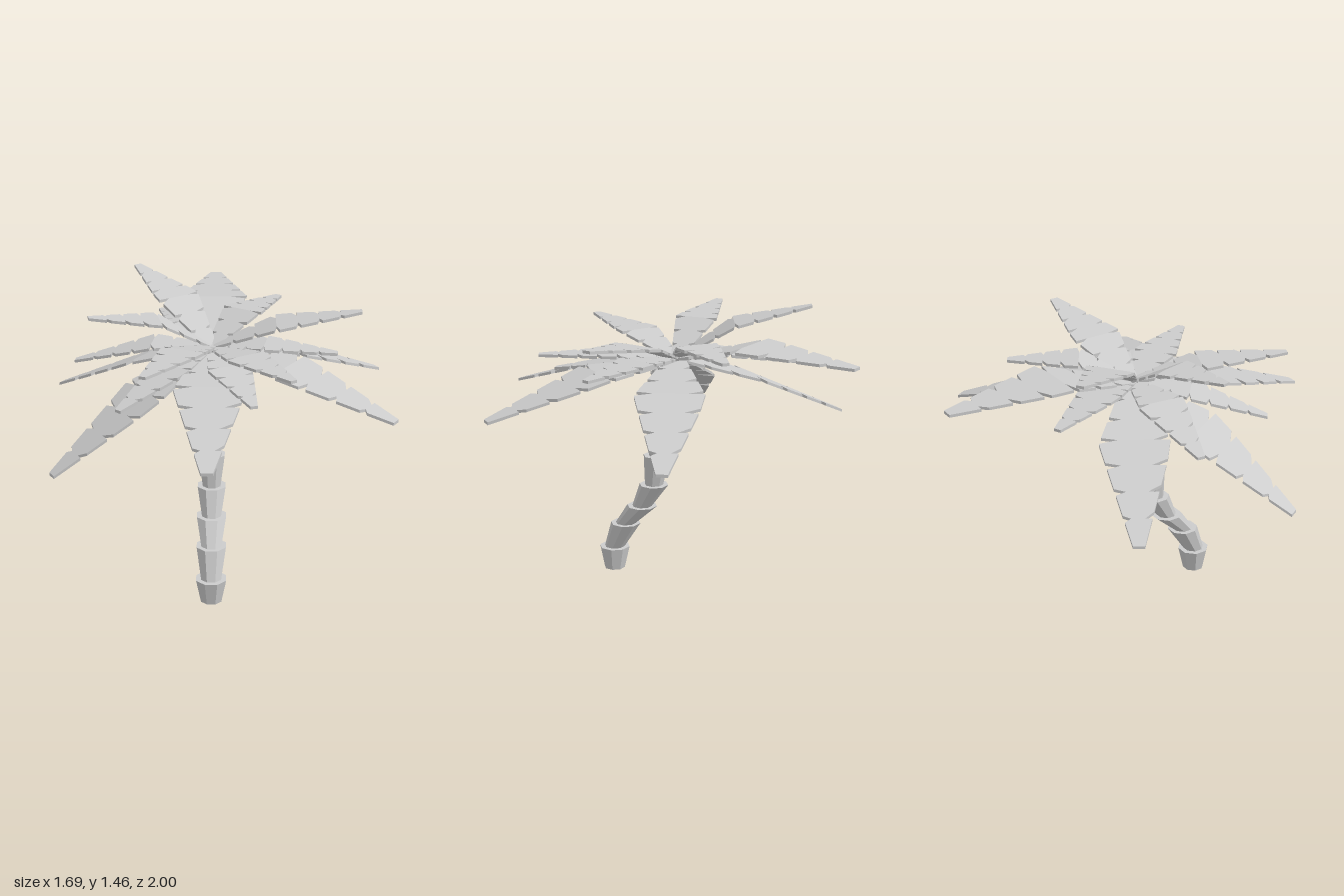
import * as THREE from 'three';

const material = new THREE.MeshStandardMaterial({ color: 0xcccccc, flatShading: true });
const CROWN_X = -0.03;
const LOBES = 7;

// Trunk joints: [y, z] of each ring centre, and the flared radius at its top
const RINGS = [
  [0, 0.39], [0.12, 0.388], [0.265, 0.315], [0.38, 0.21], [0.51, 0.135],
  [0.67, 0.115], [0.81, 0.1], [0.945, 0.083], [1.07, 0.05], [1.2, 0.01],
];
const FLARE = [0.08, 0.078, 0.078, 0.075, 0.07, 0.063, 0.055, 0.05, 0.045];

// Fronds: tip x, y, z, height at the bend, half width
const FRONDS = [
  [-0.02, 1.28, -1.0, 1.31, 0.17],
  [0.83, 0.91, -0.5, 1.12, 0.17],
  [-0.83, 0.82, -0.5, 1.07, 0.17],
  [-0.79, 0.68, 0.42, 1.02, 0.17],
  [0.83, 0.99, 0.5, 1.16, 0.17],
  [-0.04, 0.94, 1.0, 1.13, 0.17],
  [0.7, 1.37, 0.0, 1.31, 0.13],
  [-0.71, 1.09, -0.08, 1.2, 0.12],
  [-0.62, 1.37, 0.12, 1.34, 0.11],
  [0.58, 1.19, 0.1, 1.22, 0.11],
  [0.31, 1.3, -0.5, 1.31, 0.11],
  [-0.42, 1.45, -0.54, 1.37, 0.12],
  [-0.3, 1.2, -0.59, 1.24, 0.11],
  [-0.33, 1.28, 0.71, 1.27, 0.11],
  [-0.46, 1.04, 0.5, 1.16, 0.11],
  [0.35, 1.21, 0.56, 1.22, 0.11],
  [0.17, 1.1, 0.6, 1.17, 0.11],
];

// Flared, sheared ring segment between two joints
function trunkSegment(i) {
  const [y0, z0] = RINGS[i], [y1, z1] = RINGS[i + 1];
  const h = y1 - y0;
  const geo = new THREE.CylinderGeometry(FLARE[i], FLARE[i] * 0.68, h, 8);
  geo.rotateY(Math.PI / 8);
  const p = geo.attributes.position;
  for (let k = 0; k < p.count; k++) {
    p.setZ(k, p.getZ(k) + THREE.MathUtils.lerp(z0, z1, p.getY(k) / h + 0.5));
  }
  geo.translate(CROWN_X, (y0 + y1) / 2, 0);
  geo.computeVertexNormals();
  return geo;
}

// Thin leaf with a bend and rows of slits, made of lobes on both sides of the midrib
function frondGeometry(tipX, tipY, tipZ, bendY, halfWidth) {
  const BEND = 3 / LOBES, BASE_Y = 1.19, THICK = 0.007;
  const dx = tipX - CROWN_X, dz = tipZ;
  const len = Math.hypot(dx, dz);
  const lerp = THREE.MathUtils.lerp;
  const width = t => halfWidth * (t < 0.45 ? lerp(0.25, 1, t / 0.45) : lerp(1, 0.16, (t - 0.45) / 0.55));
  const height = t => t < BEND ? lerp(BASE_Y, bendY, t / BEND) : lerp(bendY, tipY, (t - BEND) / (1 - BEND));
  const place = ([t, u], off) => [
    CROWN_X + dx * t + dz / len * u, height(t) + off, dz * t - dx / len * u,
  ];
  const pos = [];
  const tri = (a, b, c) => pos.push(...a, ...b, ...c);

  for (const side of [1, -1]) {
    for (let i = 0; i < LOBES; i++) {
      const first = i === 0, last = i === LOBES - 1;
      const shift = side > 0 ? 0 : 0.02;
      const a = i / LOBES, b = (i + 1) / LOBES;
      const aOut = first ? 0 : a + shift, bOut = last ? 1 : b - 0.035 + shift;
      const poly = [
        [a, 0], [b, 0], [b, width(b) * (last ? 0.8 : 0.5)],
        [bOut, width(bOut)], [aOut, width(aOut)], [a, width(a) * 0.5],
      ].map(([t, u]) => [t, u * side]);
      const top = poly.map(q => place(q, THICK));
      const low = poly.map(q => place(q, -THICK));
      const face = (p, q, r) => side > 0 ? tri(p, q, r) : tri(p, r, q);
      for (let k = 1; k < 5; k++) {
        face(top[0], top[k], top[k + 1]);
        face(low[0], low[k + 1], low[k]);
      }
      // Outer walls only; the inner borders are shared with the next lobe
      const walls = [2, 3, 4];
      if (last) walls.push(1);
      if (first) walls.push(5);
      for (const k of walls) {
        const n = (k + 1) % 6;
        face(low[k], low[n], top[n]);
        face(low[k], top[n], top[k]);
      }
    }
  }
  const geo = new THREE.BufferGeometry();
  geo.setAttribute('position', new THREE.Float32BufferAttribute(pos, 3));
  geo.computeVertexNormals();
  return geo;
}

export function createModel() {
  const model = new THREE.Group();
  model.name = 'palmTree';
  const add = (parent, name, geo) => {
    const mesh = new THREE.Mesh(geo, material);
    mesh.name = name;
    parent.add(mesh);
    return mesh;
  };
  const group = name => {
    const g = new THREE.Group();
    g.name = name;
    model.add(g);
    return g;
  };

  const trunk = group('trunk');
  FLARE.forEach((_, i) => add(trunk, 'trunkSegment', trunkSegment(i)));

  const crown = group('crown');
  FRONDS.forEach(f => add(crown, 'frond', frondGeometry(...f)));

  // Coconuts hanging around the top of the trunk, in two staggered rows
  const coconuts = group('coconuts');
  const nut = new THREE.IcosahedronGeometry(0.038, 2);
  for (let i = 0; i < 8; i++) {
    const a = i / 8 * Math.PI * 2 + 0.3;
    add(coconuts, 'coconut', nut).position.set(
      CROWN_X + Math.cos(a) * 0.07, i % 2 ? 1.05 : 1.11, 0.03 + Math.sin(a) * 0.07);
  }
  return model;
}
